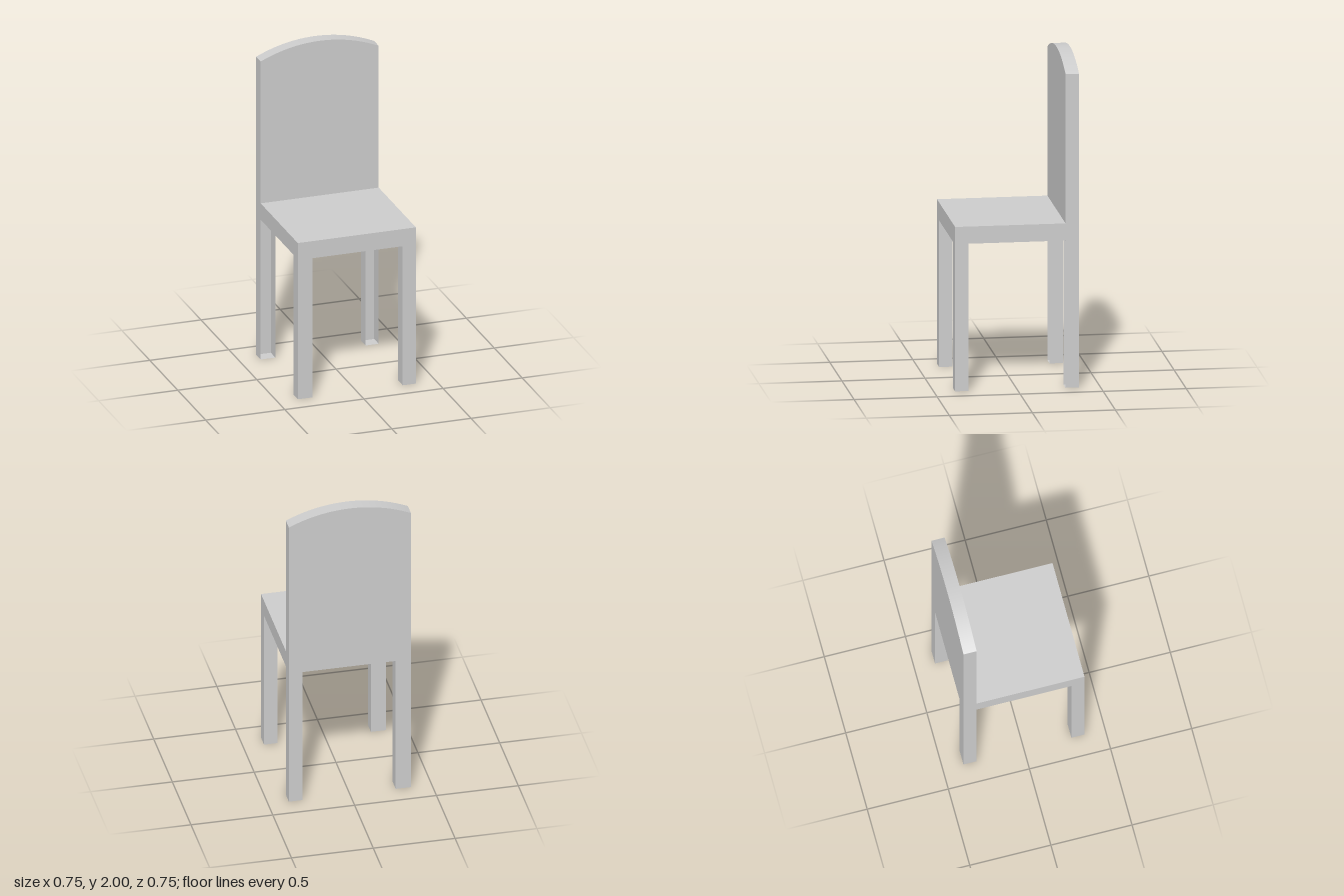
import * as THREE from 'three';

const HALF = 0.373;             // half of the seat's width and depth
const INNER = 0.292;            // inner z of the front and back frames
const THICK = HALF - INNER;
const SEAT_TOP = 1.005, SEAT_BOTTOM = 0.9, RAIL_BOTTOM = 0.895;
const LEG_IN = [-0.28, 0.29];   // inner x of the right and left legs

export function createModel() {
  const chair = new THREE.Group();
  chair.name = 'chair';
  const material = new THREE.MeshStandardMaterial({ color: 0xcccccc, side: THREE.DoubleSide });

  const add = (name, geometry, x = 0, y = 0, z = 0) => {
    const mesh = new THREE.Mesh(geometry, material);
    mesh.name = name;
    mesh.position.set(x, y, z);
    chair.add(mesh);
  };
  const extrude = (shape) =>
    new THREE.ExtrudeGeometry(shape, { depth: THICK, bevelEnabled: false, curveSegments: 32 });

  // Seat slab between the frames
  add('seat', new THREE.BoxGeometry(2 * HALF, SEAT_TOP - SEAT_BOTTOM, 2 * INNER),
    0, (SEAT_TOP + SEAT_BOTTOM) / 2, 0);

  // Front legs and the rail joining them, as one portal
  const portal = new THREE.Shape([
    [-HALF, 0], [LEG_IN[0], 0], [LEG_IN[0], RAIL_BOTTOM], [LEG_IN[1], RAIL_BOTTOM],
    [LEG_IN[1], 0], [HALF, 0], [HALF, SEAT_TOP], [-HALF, SEAT_TOP],
  ].map(([x, y]) => new THREE.Vector2(x, y)));
  add('frontLegs', extrude(portal), 0, 0, INNER);

  // Backrest with a shallow arched top
  const rise = 0.083;
  const radius = (HALF * HALF + rise * rise) / (2 * rise);
  const angle = Math.asin(HALF / radius);
  const back = new THREE.Shape();
  back.moveTo(-HALF, RAIL_BOTTOM);
  back.lineTo(HALF, RAIL_BOTTOM);
  back.lineTo(HALF, 2 - rise);
  back.absarc(0, 2 - radius, radius, Math.PI / 2 - angle, Math.PI / 2 + angle, false);
  back.closePath();
  add('backrest', extrude(back), 0, 0, -HALF);

  // Back legs: hollow channels, open at the top and towards the front
  [['rightBackLeg', -HALF, LEG_IN[0]], ['leftBackLeg', LEG_IN[1], HALF]].forEach(([name, x0, x1]) => {
    const leg = new THREE.BoxGeometry(x1 - x0, RAIL_BOTTOM, THICK);
    const faces = Array.from(leg.index.array);
    leg.setIndex([...faces.slice(0, 12), ...faces.slice(18, 24), ...faces.slice(30)]);
    leg.clearGroups();
    add(name, leg, (x0 + x1) / 2, RAIL_BOTTOM / 2, -(HALF + INNER) / 2);
  });

  return chair;
}
